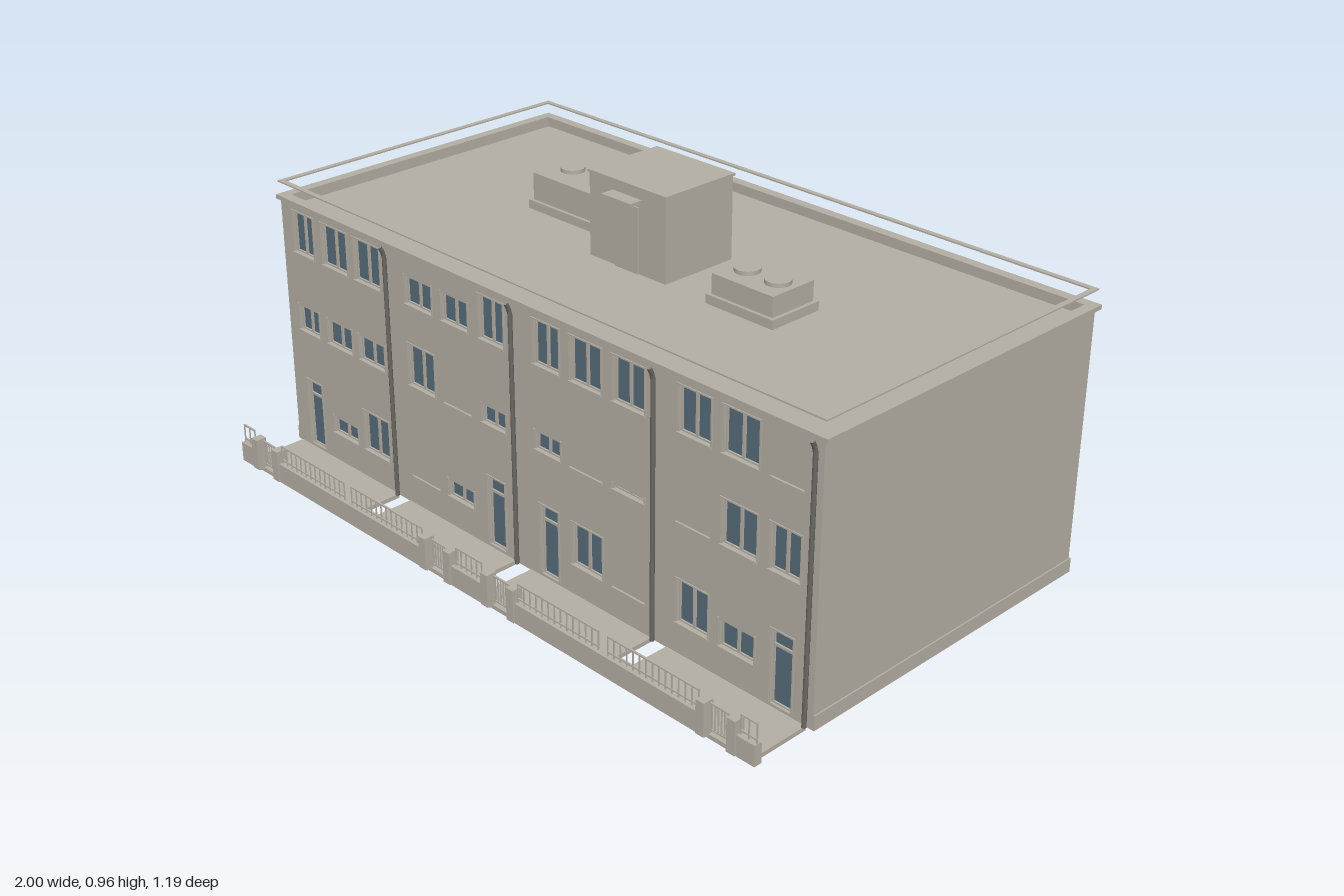
import * as THREE from 'three';

const wall = new THREE.MeshStandardMaterial({ color: 0xb3aea4, side: THREE.DoubleSide });
wall.name = 'stone';
const glass = new THREE.MeshStandardMaterial({ color: 0x566c79, side: THREE.DoubleSide });
glass.name = 'blue glass';
const metal = new THREE.MeshStandardMaterial({ color: 0x6b6963 });
metal.name = 'dark metal';

// Box given by its minimum and maximum corners
function box(parent, name, x0, x1, y0, y1, z0, z1, mat = wall) {
  const m = new THREE.Mesh(new THREE.BoxGeometry(x1 - x0, y1 - y0, z1 - z0), mat);
  m.position.set((x0 + x1) / 2, (y0 + y1) / 2, (z0 + z1) / 2);
  m.name = name;
  parent.add(m);
  return m;
}

function rectPoints(x0, x1, y0, y1) {
  return [[x0, y0], [x1, y0], [x1, y1], [x0, y1]].map(p => new THREE.Vector2(...p));
}

// Facade with its outer face on z = 0; windows are {x, w, y0, h, open, door}
function facade(name, windows) {
  const g = new THREE.Group();
  g.name = name;
  const shape = new THREE.Shape(rectPoints(-0.985, 0.985, 0.01, 0.75));
  const t = 0.012;
  for (const { x, w, y0, h, open, door } of windows) {
    const a = x - w / 2, b = x + w / 2, top = y0 + h * open;
    // full pane behind the wall, seen through the opening
    box(g, door ? 'doorGlass' : 'windowGlass', a, b, y0, y0 + h, -t - 0.005, -t - 0.0005, glass);
    if (!door) box(g, 'windowSill', a - 0.005, b + 0.005, y0 - 0.007, y0, -0.004, 0.006);
    if (!open) continue;
    shape.holes.push(new THREE.Path(rectPoints(a, b, y0, top)));
    // surround
    box(g, 'windowSurround', a - 0.007, a - 0.002, y0, top + 0.006, 0, 0.003);
    box(g, 'windowSurround', b + 0.002, b + 0.007, y0, top + 0.006, 0, 0.003);
    if (open === 1) box(g, 'windowSurround', a - 0.002, b + 0.002, top + 0.002, top + 0.006, 0, 0.003);
    // frame
    const z0 = -t, z1 = -t + 0.005;
    box(g, 'windowFrame', a, a + 0.004, y0, top, z0, z1);
    box(g, 'windowFrame', b - 0.004, b, y0, top, z0, z1);
    box(g, 'windowFrame', a, b, y0, y0 + 0.004, z0, z1);
    if (open === 1) box(g, 'windowFrame', a, b, top - 0.004, top, z0, z1);
    if (door) box(g, 'doorTransom', a, b, top - 0.045, top - 0.038, z0, z1);
    else box(g, 'windowMullion', x - 0.004, x + 0.004, y0, top, z0, z1);
  }
  const m = new THREE.Mesh(new THREE.ExtrudeGeometry(shape, { depth: t, bevelEnabled: false }), wall);
  m.position.z = -t;
  m.name = name + 'Wall';
  g.add(m);
  return g;
}

// Flat rectangular ring around the roof
function ring(parent, name, x, z0, z1, band, y, h) {
  const s = new THREE.Shape(rectPoints(-x, x, -z1, -z0));
  s.holes.push(new THREE.Path(rectPoints(-x + band, x - band, -z1 + band, -z0 - band)));
  const m = new THREE.Mesh(new THREE.ExtrudeGeometry(s, { depth: h, bevelEnabled: false }), wall);
  m.rotation.x = -Math.PI / 2;
  m.position.y = y;
  m.name = name;
  parent.add(m);
}

function roofVent(parent, x0, x1, z0, z1, top, caps) {
  const g = new THREE.Group();
  g.name = 'roofVent';
  box(g, 'ventBase', x0, x1, 0.73, 0.755, z0, z1);
  box(g, 'ventBody', x0 + 0.01, x1 - 0.01, 0.73, top, z0 + 0.01, z1 - 0.01);
  for (const x of caps) {
    const c = new THREE.Mesh(new THREE.CylinderGeometry(0.034, 0.034, 0.012, 24), wall);
    c.position.set(x, top + 0.005, (z0 + z1) / 2);
    c.name = 'ventCap';
    g.add(c);
  }
  parent.add(g);
}

function railing(parent, x0, x1) {
  const g = new THREE.Group();
  g.name = 'railing';
  const n = Math.max(2, Math.round((x1 - x0) / 0.022));
  for (const y of [0.074, 0.116]) box(g, 'rail', x0, x1, y, y + 0.004, 0.579, 0.584);
  for (let i = 0; i <= n; i++) {
    const x = x0 + (x1 - x0) * i / n;
    box(g, 'baluster', x - 0.0015, x + 0.0015, 0.06, 0.118, 0.58, 0.583);
  }
  parent.add(g);
}

export function createModel() {
  const root = new THREE.Group();
  root.name = 'apartmentBlock';

  // Front windows: column centres and widths, then how much of each pane shows
  const xs = [-0.89, -0.75, -0.607, -0.393, -0.247, -0.104, 0.1, 0.24, 0.388, 0.602, 0.746, 0.886];
  const ws = [0.088, 0.107, 0.107, 0.105, 0.1, 0.09, 0.09, 0.105, 0.103, 0.1, 0.107, 0.088];
  const rows = [
    [0.1, [1, 0.4, 1, 0, 0.4, 1, 1, 1, 0, 1, 0.6, 1]],
    [0.375, [0.62, 0.6, 0.6, 1, 0, 0.42, 0.42, 0, 0.1, 0, 1, 1]],
    [0.61, [1, 1, 1, 0.65, 0.65, 1, 1, 1, 1, 1, 1, 0]],
  ];
  const front = [];
  rows.forEach(([y0, opens], r) => opens.forEach((open, i) => {
    const door = r === 0 && [0, 5, 6, 11].includes(i);
    front.push(door ? { x: xs[i], w: 0.064, y0: 0.02, h: 0.2, open: 1, door }
      : { x: xs[i], w: ws[i], y0, h: 0.117, open });
  }));
  const frontWall = facade('frontFacade', front);
  frontWall.position.z = 0.4;
  root.add(frontWall);

  const back = [];
  for (const x of [-0.835, -0.643, 0.643, 0.835])
    for (const y0 of [0.095, 0.367, 0.605]) back.push({ x, w: 0.12, y0, h: 0.112, open: 1 });
  const backWall = facade('backFacade', back);
  backWall.rotation.y = Math.PI;
  backWall.position.z = -0.583;
  root.add(backWall);

  // Side walls, plinth and roof
  for (const s of [-1, 1]) {
    const side = box(root, 'sideWall', -0.005, 0.005, 0.01, 0.75, -0.583, 0.4);
    side.position.x = s * 0.981;
    const plinth = box(root, 'sidePlinth', -0.002, 0.002, 0.01, 0.05, -0.587, 0.4);
    plinth.position.x = s * 0.988;
  }
  box(root, 'backPlinth', -0.988, 0.988, 0.01, 0.05, -0.587, -0.583);
  box(root, 'roofDeck', -0.98, 0.98, 0.725, 0.73, -0.58, 0.395);
  ring(root, 'cornice', 0.998, -0.592, 0.407, 0.03, 0.748, 0.012);
  ring(root, 'parapet', 0.98, -0.578, 0.392, 0.012, 0.73, 0.02);
  ring(root, 'roofRail', 0.99, -0.585, 0.403, 0.015, 0.798, 0.004);

  // Stair penthouse
  box(root, 'penthouse', -0.14, 0.135, 0.73, 0.96, -0.208, 0.03);
  box(root, 'penthouseRoof', -0.143, 0.138, 0.958, 0.965, -0.213, 0.034);
  box(root, 'penthouseDoor', -0.045, 0.04, 0.73, 0.91, 0.03, 0.035);
  box(root, 'penthouseCanopy', -0.055, 0.05, 0.923, 0.932, 0.03, 0.07);
  roofVent(root, -0.5, -0.215, -0.272, -0.075, 0.832, [-0.428, -0.292]);
  roofVent(root, 0.282, 0.503, -0.128, 0.038, 0.81, [0.342, 0.443]);

  // Drainpipes
  for (const x of [-0.52, -0.022, 0.475, 0.966]) {
    const path = new THREE.CurvePath();
    const pts = [[0.42, 0.75], [0.407, 0.725], [0.407, 0.012]].map(([z, y]) => new THREE.Vector3(x, y, z));
    for (let i = 0; i < 2; i++) path.add(new THREE.LineCurve3(pts[i], pts[i + 1]));
    const pipe = new THREE.Mesh(new THREE.TubeGeometry(path, 40, 0.006, 8), metal);
    pipe.name = 'drainpipe';
    root.add(pipe);
  }

  // Terraces
  for (const [a, b] of [[-0.97, -0.522], [-0.473, -0.035], [0.025, 0.465], [0.517, 0.965]])
    box(root, 'terrace', a, b, 0, 0.012, 0.4, 0.58);

  // Garden wall, gate pillars, gates and railings
  for (const [a, b] of [[-0.99, -0.905], [-0.835, -0.16], [-0.088, 0.085], [0.157, 0.833], [0.903, 0.985]])
    box(root, 'gardenWall', a, b, 0.008, 0.065, 0.569, 0.592);
  for (const x of [-0.918, -0.822, -0.173, -0.075, 0.072, 0.17, 0.82, 0.916])
    box(root, 'gatePillar', x - 0.013, x + 0.013, 0.01, 0.102, 0.566, 0.597);
  for (const x of [-0.87, -0.124, 0.121, 0.868]) {
    for (const y of [0.022, 0.092]) box(root, 'gateRail', x - 0.034, x + 0.034, y, y + 0.004, 0.572, 0.577);
    for (let i = -3; i <= 3; i++)
      box(root, 'gateBar', x + i * 0.01 - 0.0015, x + i * 0.01 + 0.0015, 0.022, 0.096, 0.573, 0.576);
  }
  for (const [a, b] of [[-0.985, -0.935], [-0.805, -0.52], [-0.488, -0.188], [-0.052, 0.048],
    [0.185, 0.473], [0.505, 0.803], [0.933, 0.982]]) railing(root, a, b);

  return root;
}
